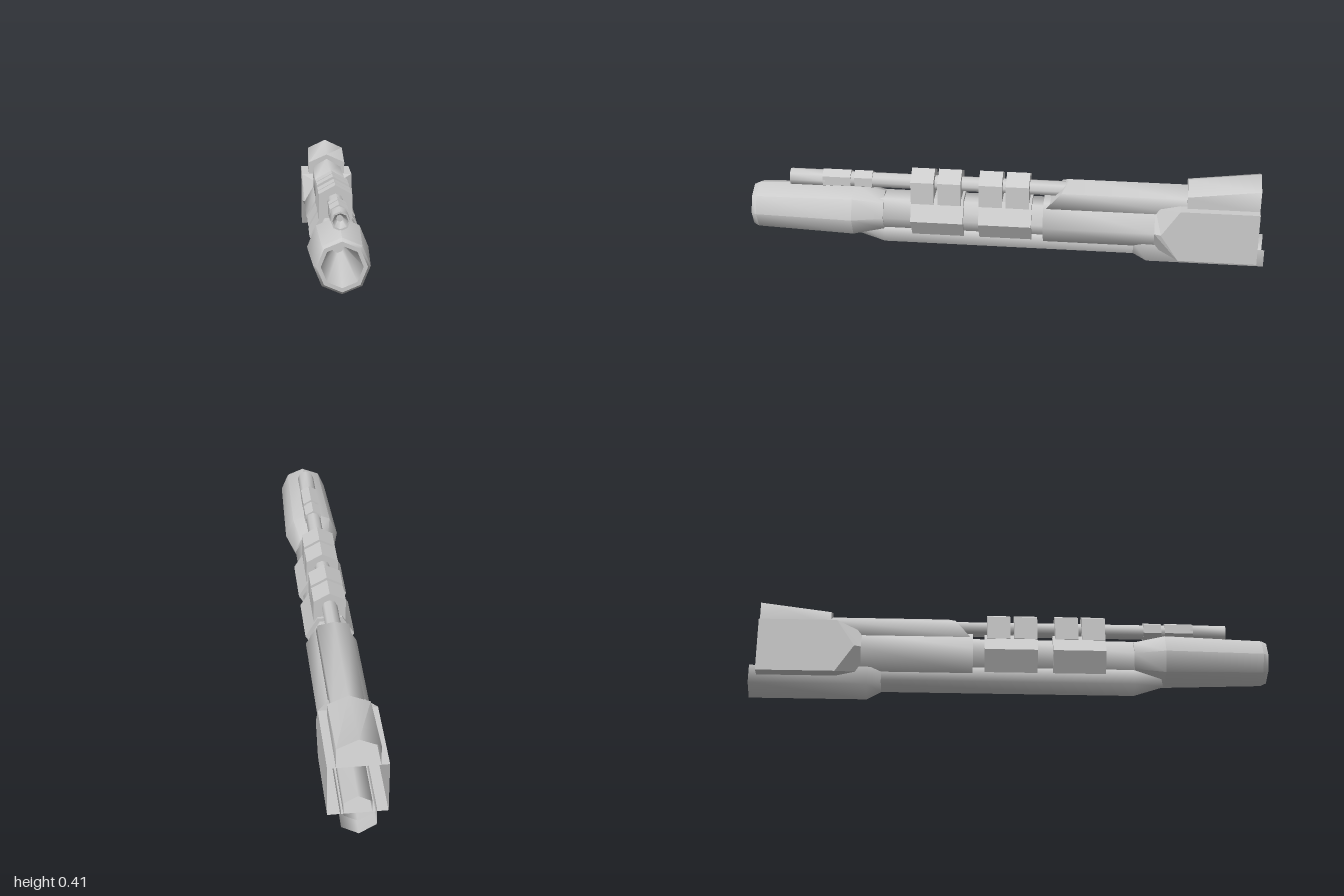
import * as THREE from 'three';
import { toCreasedNormals } from 'three/addons/utils/BufferGeometryUtils.js';

const material = new THREE.MeshStandardMaterial({ color: 0xcccccc, side: THREE.DoubleSide });
const SMOOTH = 1.15, FLAT = 0.2;

// Regular polygon section at depth z, counter-clockwise seen from +z
function ring(sides, r, cy, z, turn = 0) {
  return Array.from({ length: sides }, (_, i) => {
    const a = turn + (i / sides) * Math.PI * 2;
    return [r * Math.cos(a), cy + r * Math.sin(a), z];
  });
}

// Skin through a list of sections running from front to back
function loft(sections, { closed = true, front = false, back = false, crease = SMOOTH } = {}) {
  const pos = [];
  const tri = (a, b, c) => pos.push(...a, ...b, ...c);
  const n = sections[0].length;
  for (let i = 0; i < sections.length - 1; i++) {
    const s = sections[i], t = sections[i + 1];
    for (let j = 0; j < (closed ? n : n - 1); j++) {
      const k = (j + 1) % n;
      tri(s[j], t[j], s[k]);
      tri(s[k], t[j], t[k]);
    }
  }
  const last = sections[sections.length - 1];
  for (let j = 1; j < n - 1; j++) {
    if (front) tri(sections[0][0], sections[0][j], sections[0][j + 1]);
    if (back) tri(last[0], last[j + 1], last[j]);
  }
  const g = new THREE.BufferGeometry();
  g.setAttribute('position', new THREE.Float32BufferAttribute(pos, 3));
  return toCreasedNormals(g, crease);
}

export function createModel() {
  const model = new THREE.Group();
  const add = (name, sections, options) => {
    const mesh = new THREE.Mesh(loft(sections, options), material);
    mesh.name = name;
    model.add(mesh);
  };
  const axis = 0.178, up = Math.PI / 6;

  // Octagonal muzzle with a tapering bore
  const muzzle = [[0.022, 0.6], [0.07, 1], [0.084, 1], [0.094, 0.98], [0.108, 0.6], [0.08, 0.48]];
  add('muzzle', muzzle.map(([r, z]) => ring(8, r, axis, z)), { front: true, back: true, crease: 0.8 });

  // Hexagonal barrel core and two sleeves around it
  add('barrelCore', [ring(6, 0.078, axis, 0.5), ring(6, 0.078, axis, -0.16)]);
  for (const z of [0.37, 0.105]) {
    add('sleeve', [ring(6, 0.095, axis, z), ring(6, 0.095, axis, z - 0.205)],
      { front: true, back: true, crease: FLAT });
  }

  // Rear body, and the open box stock it flares into
  add('rearBody', [ring(6, 0.098, axis, -0.145), ring(6, 0.098, axis, -0.59)], { front: true });
  const boxSection = (midZ, cornerZ) => [
    [0.107, axis, midZ], [0.107, 0.285, cornerZ], [-0.107, 0.285, cornerZ],
    [-0.107, axis, midZ], [-0.107, 0.07, cornerZ], [0.107, 0.07, cornerZ],
  ];
  add('stockBox', [ring(6, 0.098, axis, -0.575), boxSection(-0.6, -0.67), boxSection(-0.97, -0.97)],
    { crease: FLAT });

  // Lower tube, tapered at its front
  add('lowerTube', [ring(6, 0.04, 0.112, 0.6, up), ring(6, 0.058, 0.09, 0.48, up), ring(6, 0.058, 0.09, -0.97, up)],
    { front: true });

  // Open trough below the stock
  const trough = (w, top, corner, bottom, z) =>
    [[-w, top, z], [-w, corner, z], [0, bottom, z], [w, corner, z], [w, top, z]];
  add('lowerTrough', [
    trough(0.05, 0.11, 0.062, 0.032, -0.495),
    trough(0.062, 0.11, 0.037, 0, -0.55),
    trough(0.062, 0.11, 0.037, 0, -1),
  ], { closed: false });

  // Upper rod with a hollow tip, and its small collars
  const rodY = 0.306;
  add('upperRod', [[0.012, 0.78], [0.027, 0.85], [0.033, 0.85], [0.033, 0.71]]
    .map(([r, z]) => ring(8, r, rodY, z)), { front: true, crease: 0.8 });
  add('upperRodShaft', [ring(8, 0.03, rodY, 0.72), ring(8, 0.03, rodY, -0.25)]);
  for (const [z0, z1] of [[0.72, 0.61], [0.595, 0.525]]) {
    add('rodCollar', [ring(6, 0.037, 0.308, z0, up), ring(6, 0.037, 0.308, z1, up)],
      { front: true, back: true, crease: FLAT });
  }

  // Peaked clamps holding the rod, a pair on each sleeve
  for (const z of [0.37, 0.265, 0.105, 0]) {
    const clamp = d => [[0.062, 0.24, d], [0.062, 0.333, d], [0, 0.367, d], [-0.062, 0.333, d], [-0.062, 0.24, d]];
    add('rodClamp', [clamp(z), clamp(z - 0.09)], { front: true, back: true, crease: FLAT });
  }

  // Upper fairing with a slanted nose
  const nose = ring(6, 0.069, 0.279, 0, up).map(([x, y]) => [x, y, -0.17 - (y - 0.262) * 0.85]);
  add('upperFairing', [nose, ring(6, 0.069, 0.279, -0.72, up)], { front: true });

  // Flared hood at the rear, open behind and below
  const hood = (corner, peak, z) =>
    [[0.077, 0.28, z], [0.077, corner, z], [0, peak, z], [-0.077, corner, z], [-0.077, 0.28, z]];
  add('rearHood', [hood(0.333, 0.367, -0.695), hood(0.369, 0.405, -0.97)], { closed: false, front: true });

  return model;
}
